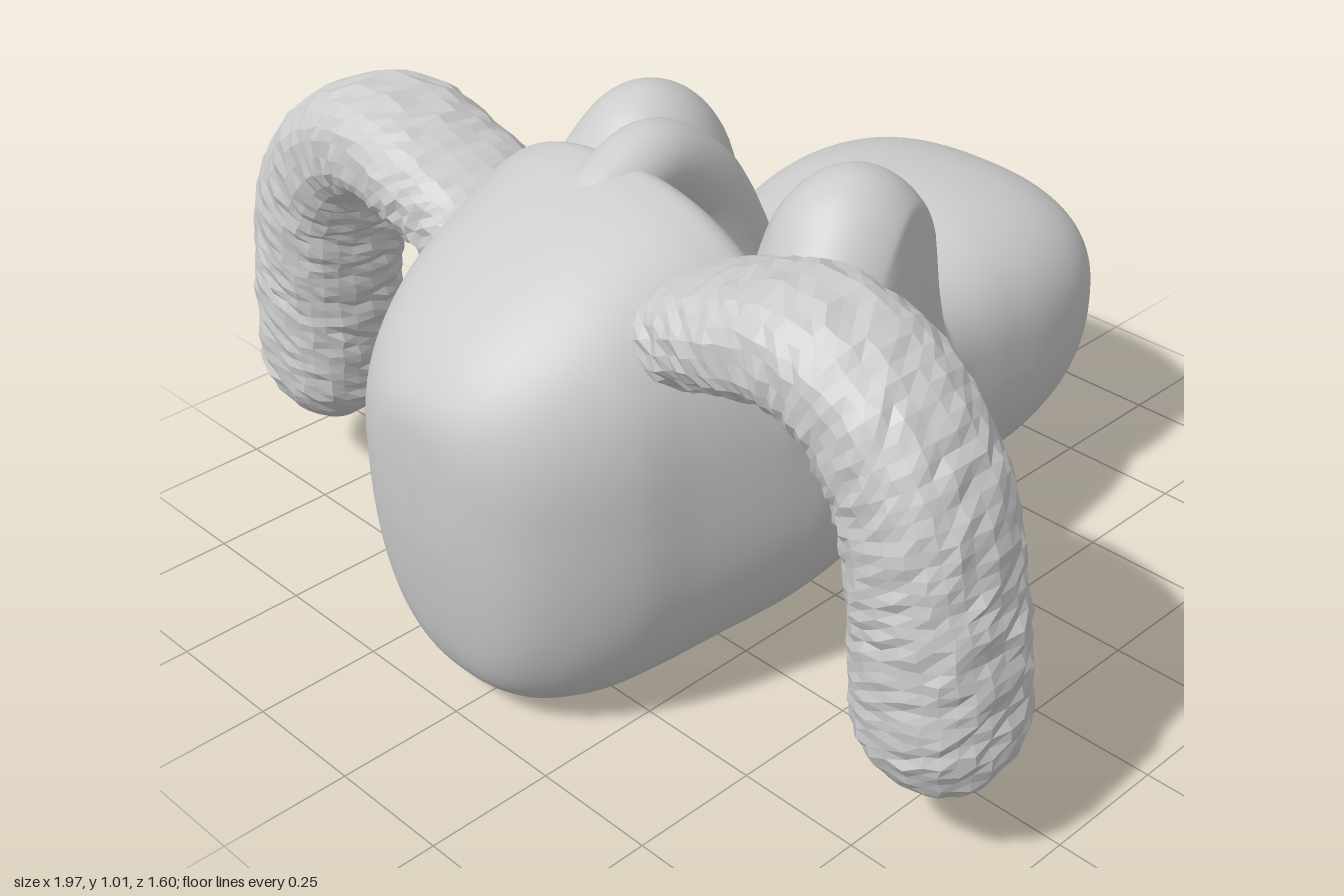
import * as THREE from 'three';
import { mergeVertices } from 'three/addons/utils/BufferGeometryUtils.js';

const V = (x, y, z = 0) => new THREE.Vector3(x, y, z);
const spline = (pts) => new THREE.CatmullRomCurve3(pts, false, 'catmullrom', 0.5);
const spow = (v, e) => Math.sign(v) * Math.pow(Math.abs(v), e);

// Closed skin over rings: fn(t along, angle around) returns a point
function skin(rows, cols, fn, flip = false) {
  const pos = [], idx = [];
  for (let i = 0; i <= rows; i++)
    for (let j = 0; j < cols; j++) pos.push(...fn(i / rows, (j / cols) * Math.PI * 2, i, j));
  for (let i = 0; i < rows; i++)
    for (let j = 0; j < cols; j++) {
      const k = (j + 1) % cols;
      const a = i * cols + j, b = a + cols, c = i * cols + k, d = c + cols;
      if (flip) idx.push(a, c, b, c, d, b);
      else idx.push(a, b, c, c, b, d);
    }
  let geo = new THREE.BufferGeometry();
  geo.setAttribute('position', new THREE.Float32BufferAttribute(pos, 3));
  geo.setIndex(idx);
  geo = mergeVertices(geo, 1e-5);
  geo.computeVertexNormals();
  return geo;
}

// Body stations: z, half width, top, bottom, height of the widest line
const STATIONS = [
  [0.80, 0, 0.55, 0.55, 0.55],
  [0.79, 0.11, 0.66, 0.36, 0.52],
  [0.75, 0.20, 0.73, 0.14, 0.50],
  [0.68, 0.27, 0.80, 0.045, 0.50],
  [0.58, 0.33, 0.87, 0.01, 0.50],
  [0.47, 0.365, 0.93, 0.01, 0.50],
  [0.36, 0.40, 0.97, 0.03, 0.50],
  [0.29, 0.42, 0.96, 0.04, 0.50],
  [0.22, 0.435, 0.84, 0.055, 0.49],
  [0.13, 0.44, 0.71, 0.08, 0.48],
  [0.03, 0.42, 0.66, 0.105, 0.46],
  [-0.08, 0.375, 0.645, 0.09, 0.45],
  [-0.18, 0.34, 0.645, 0.06, 0.44],
  [-0.26, 0.335, 0.665, 0.04, 0.43],
  [-0.38, 0.35, 0.695, 0.055, 0.43],
  [-0.50, 0.36, 0.695, 0.085, 0.43],
  [-0.61, 0.345, 0.675, 0.135, 0.43],
  [-0.70, 0.30, 0.635, 0.21, 0.43],
  [-0.76, 0.23, 0.58, 0.28, 0.43],
  [-0.79, 0.13, 0.51, 0.36, 0.43],
  [-0.80, 0, 0.43, 0.43, 0.43],
];

// Shoulder lumps raised out of the body: centre x, z, radii x, z, base, rise
const LUMPS = [
  [0.265, 0.0, 0.165, 0.185, 0.70, 0.24],
  [0.33, 0.14, 0.14, 0.22, 0.62, 0.20],
];

function smoothMax(a, b, k) {
  const h = Math.max(k - Math.abs(a - b), 0) / k;
  return Math.max(a, b) + h * h * k * 0.25;
}

function bodyGeometry() {
  const size = spline(STATIONS.map((s) => V(s[1], s[2], s[0])));
  const base = spline(STATIONS.map((s) => V(s[3], s[4], s[0])));
  return skin(180, 112, (t, a) => {
    const p = size.getPoint(t), q = base.getPoint(t);
    const up = Math.sin(a) >= 0;
    const x = Math.max(p.x, 0) * spow(Math.cos(a), 0.8);
    let y = q.y + (up ? p.y - q.y : q.y - q.x) * spow(Math.sin(a), 0.8);
    if (up && p.z < 0.45 && p.z > -0.3) {
      for (const [cx, cz, rx, rz, y0, rise] of LUMPS) {
        const d = Math.hypot((Math.abs(x) - cx) / rx, (p.z - cz) / rz);
        const h = d < 1 ? y0 + rise * Math.sqrt(1 - d * d) : y0 - (d - 1) * 0.8;
        // fade out toward the widest line so the flanks stay smooth
        const lift = smoothMax(y, h, 0.07) - y;
        y += lift * Math.min(1, Math.sin(a) * 3);
      }
    }
    return [x, y, p.z];
  });
}

// Small repeatable roughness for the arms
const rough = (i, j) => {
  const s = Math.sin(i * 12.9898 + j * 78.233) * 43758.5453;
  return s - Math.floor(s) - 0.5;
};

// Drooping arm: an arched, rounded-square tube with a domed tip
function armGeometry(side) {
  const path = new THREE.CatmullRomCurve3([
    V(0.24, 0.77, 0.38), V(0.38, 0.825, 0.385), V(0.55, 0.86, 0.385), V(0.68, 0.805, 0.385),
    V(0.775, 0.68, 0.385), V(0.815, 0.5, 0.385), V(0.832, 0.3, 0.385), V(0.835, 0.14, 0.385),
  ]);
  const rows = 60, tip = 0.87;
  return skin(rows, 28, (t, a, i, j) => {
    const p = path.getPointAt(t), T = path.getTangentAt(t);
    const e = Math.max(0, (t - tip) / (1 - tip));
    const cap = Math.sqrt(Math.max(0, 1 - e * e)) * (t === 0 ? 0 : 1);
    const wide = THREE.MathUtils.lerp(0.095, 0.145, Math.min(1, t * 1.3));
    const deep = 0.15 - 0.012 * t;
    const n = cap * (wide * spow(Math.cos(a), 0.85) * (1 + 0.1 * rough(i, j)));
    const z = cap * (deep * spow(Math.sin(a), 0.85) * (1 + 0.08 * rough(j, i)));
    return [side * (p.x + T.y * n), p.y - T.x * n, p.z + z];
  }, side < 0);
}

// Central ridge running from the crown down into the hollow
function ridgeGeometry() {
  const path = new THREE.CatmullRomCurve3([
    V(0, 0.86, 0.42), V(0, 0.92, 0.32), V(0, 0.945, 0.23), V(0, 0.87, 0.12),
    V(0, 0.75, 0.05), V(0, 0.62, 0.0),
  ]);
  return new THREE.TubeGeometry(path, 40, 0.075, 20, false);
}

export function createModel() {
  const model = new THREE.Group();
  const smooth = new THREE.MeshStandardMaterial({ color: 0xcccccc });
  const faceted = new THREE.MeshStandardMaterial({ color: 0xcccccc, flatShading: true });
  const add = (name, geo, mat) => {
    const mesh = new THREE.Mesh(geo, mat);
    mesh.name = name;
    model.add(mesh);
  };
  add('body', bodyGeometry(), smooth);
  add('centralRidge', ridgeGeometry(), smooth);
  add('leftArm', armGeometry(1), faceted);
  add('rightArm', armGeometry(-1), faceted);
  return model;
}
